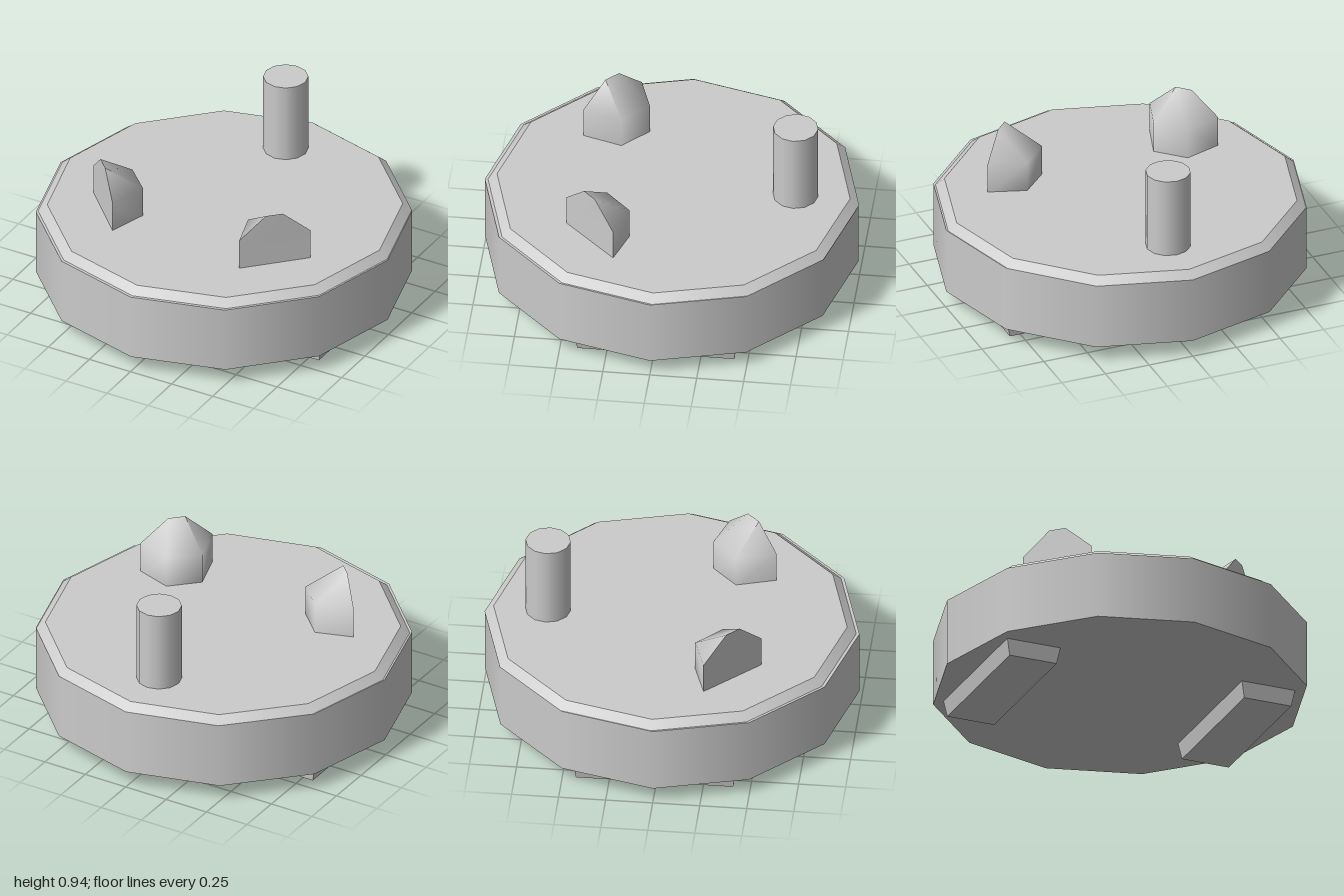
import * as THREE from 'three';

const material = new THREE.MeshStandardMaterial({ color: 0xcccccc });

function add(group, name, geometry, x = 0, y = 0, z = 0) {
  const mesh = new THREE.Mesh(geometry, material);
  mesh.name = name;
  mesh.position.set(x, y, z);
  group.add(mesh);
  return mesh;
}

// Upright prism between y0 and y1 whose corners are given as [x, z] at each level
function taperedBlock(x0, x1, z0, z1, y0, y1, inset) {
  const geometry = new THREE.BoxGeometry(x1 - x0, y1 - y0, z1 - z0);
  const p = geometry.attributes.position;
  for (let i = 0; i < p.count; i++) {
    if (p.getY(i) > 0) continue;
    p.setX(i, p.getX(i) - Math.sign(p.getX(i)) * inset);
    p.setZ(i, p.getZ(i) - Math.sign(p.getZ(i)) * inset * 0.6);
  }
  geometry.translate((x0 + x1) / 2, (y0 + y1) / 2, (z0 + z1) / 2);
  geometry.computeVertexNormals();
  return geometry;
}

// Half-hexagon peg: flat outer face, smooth inner walls leaning up to a short ridge
function pegGeometry(side) {
  const base = [[0.385, 0.515], [0.32, 0.305], [0.46, 0.17], [0.66, 0.235]];
  const ridge = [[0.49, 0.41], [0.49, 0.41], [0.555, 0.345], [0.555, 0.345]];
  const levels = [[base, 0.48], [base, 0.67], [ridge, 0.8]];
  const positions = [];
  for (const [ring, y] of levels) for (const [x, z] of ring) positions.push(x * side, y, z);
  const indices = [];
  const tri = (a, b, c) => (side > 0 ? indices.push(a, b, c) : indices.push(a, c, b));
  for (let level = 0; level < 2; level++) {
    for (let i = 0; i < 3; i++) {
      const a = level * 4 + i, b = a + 1, c = a + 4, d = a + 5;
      tri(a, c, b);
      tri(b, c, d);
    }
  }
  // Outer face has its own corners so its edges stay sharp
  const first = positions.length / 3;
  for (const i of [0, 3, 7, 11, 8, 4]) positions.push(...positions.slice(i * 3, i * 3 + 3));
  for (let i = 1; i < 5; i++) tri(first, first + i, first + i + 1);

  const geometry = new THREE.BufferGeometry();
  geometry.setAttribute('position', new THREE.Float32BufferAttribute(positions, 3));
  geometry.setIndex(indices);
  geometry.computeVertexNormals();
  return geometry;
}

export function createModel() {
  const group = new THREE.Group();
  group.name = 'peggedDisc';

  // Twelve-sided body with a bevelled lid set slightly back
  add(group, 'body', new THREE.CylinderGeometry(0.995, 0.995, 0.37, 12), 0, 0.275, 0);
  add(group, 'bevelledLid', new THREE.CylinderGeometry(0.94, 0.988, 0.04, 12), 0, 0.48, -0.01);

  // Round pin at the back
  add(group, 'backPin', new THREE.CylinderGeometry(0.12, 0.12, 0.46, 12), 0, 0.715, -0.66);

  // Mirrored pegs and feet
  for (const side of [1, -1]) {
    const label = side > 0 ? 'left' : 'right';
    add(group, label + 'Peg', pegGeometry(side));
    const foot = taperedBlock(-0.155, 0.155, -0.44, 0.42, 0, 0.1, 0.02);
    add(group, label + 'Foot', foot, 0.675 * side, 0, 0);
  }
  return group;
}
